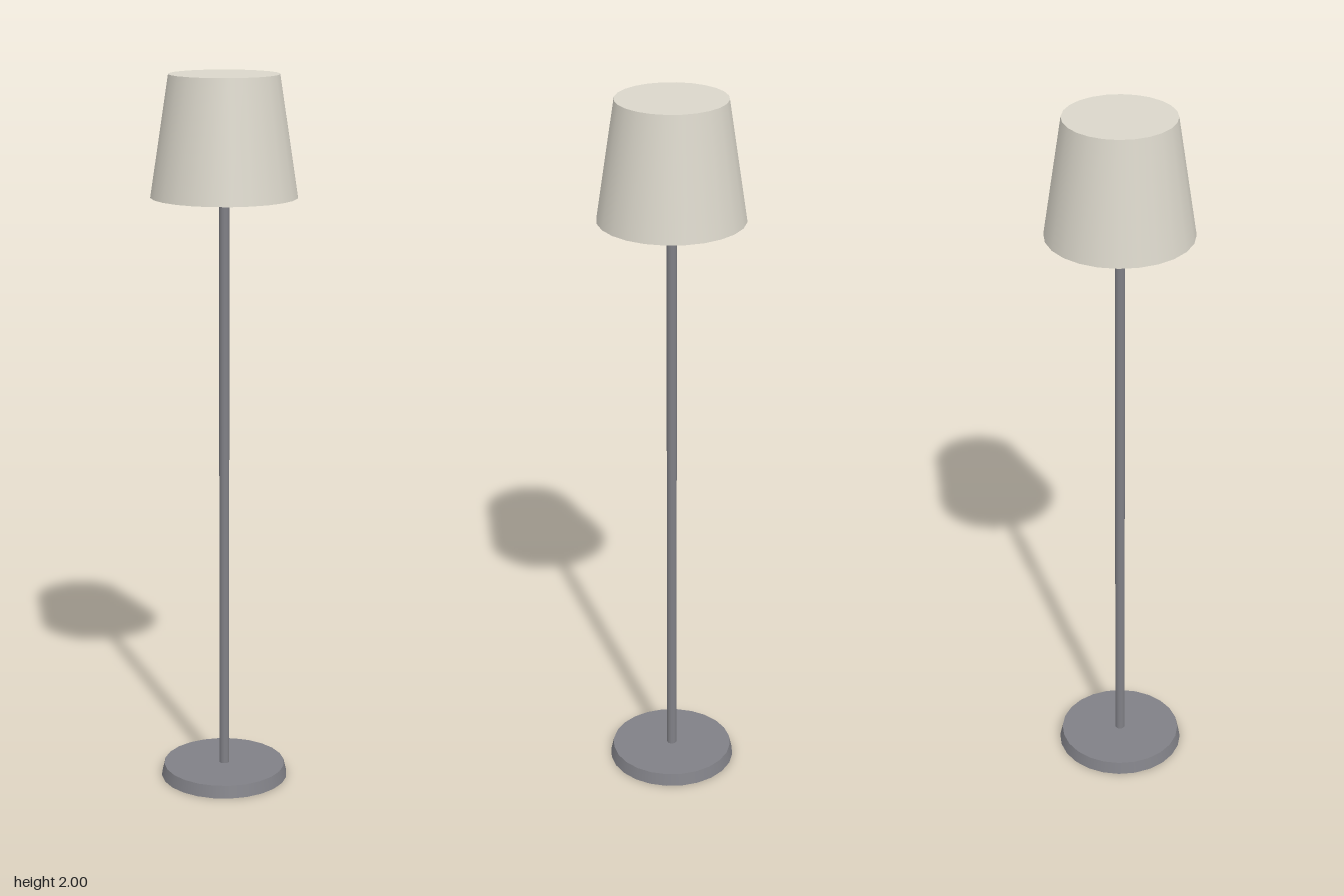
import * as THREE from 'three';

export function createModel() {
  const model = new THREE.Group();
  model.name = 'floorLamp';

  const metal = new THREE.MeshStandardMaterial({ color: 0x808086 });
  metal.name = 'grey metal';
  const fabric = new THREE.MeshStandardMaterial({ color: 0xdad6ca });
  fabric.name = 'cream fabric';

  // Capped round part standing between two heights
  function addRound(name, topRadius, bottomRadius, bottom, top, sides, material) {
    const geometry = new THREE.CylinderGeometry(topRadius, bottomRadius, top - bottom, sides);
    const mesh = new THREE.Mesh(geometry, material);
    mesh.name = name;
    mesh.position.y = (bottom + top) / 2;
    model.add(mesh);
  }

  // Weighted foot, slim pole and closed tapered shade
  addRound('base', 0.173, 0.181, 0, 0.035, 24, metal);
  addRound('pole', 0.014, 0.014, 0.03, 1.7, 12, metal);
  addRound('shade', 0.15, 0.2, 1.672, 2, 24, fabric);

  return model;
}
